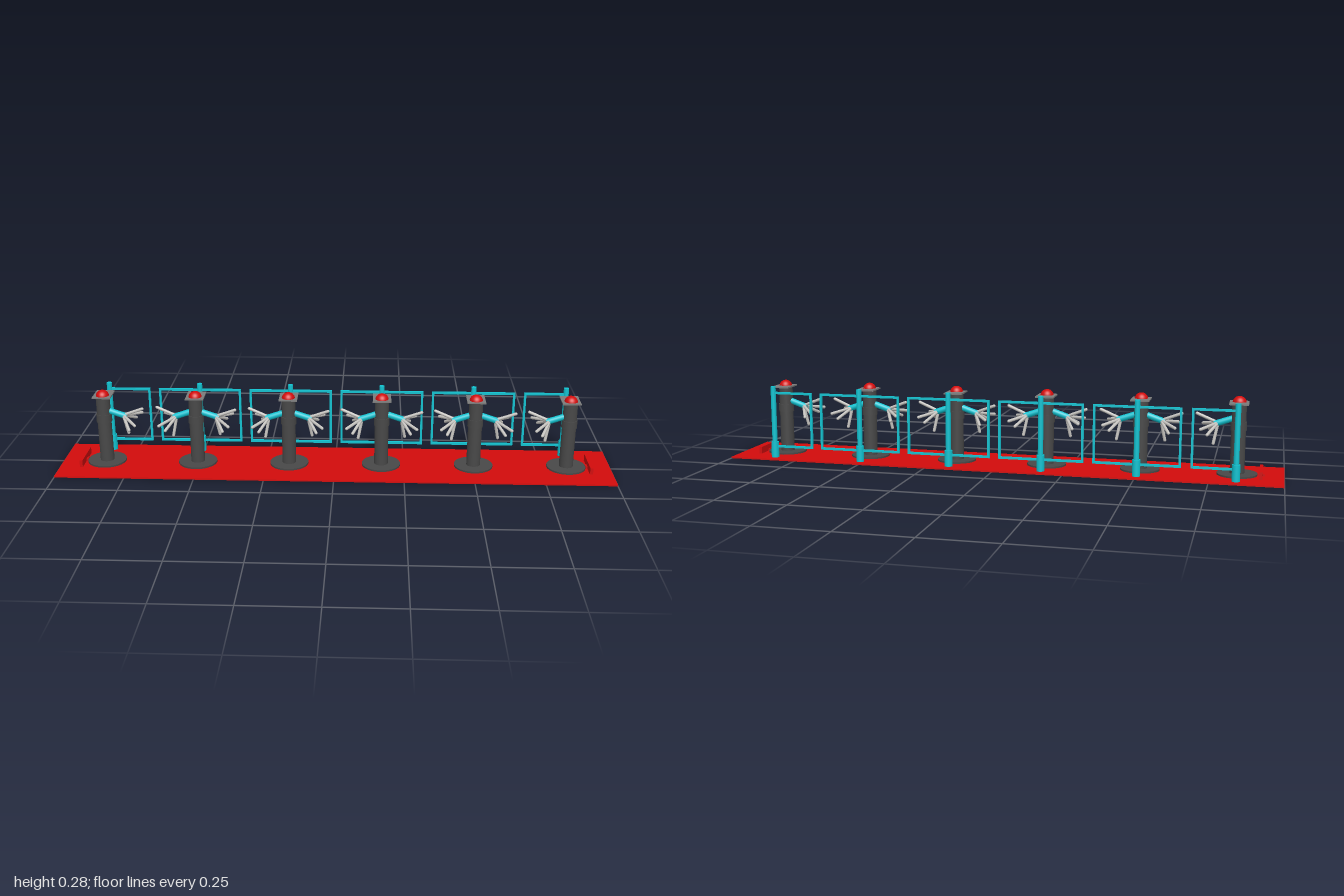
import * as THREE from 'three';

const mat = (name, color, side = THREE.FrontSide) => {
  const m = new THREE.MeshStandardMaterial({ color, side });
  m.name = name;
  return m;
};

export function createModel() {
  const red = mat('red', 0xd20c0c);
  const charcoal = mat('charcoal', 0x484848);
  const plateGrey = mat('plate grey', 0x7c7c7c);
  const steel = mat('steel', 0xc4c2be);
  const teal = mat('teal', 0x10c2d0);

  const model = new THREE.Group();
  model.name = 'turnstileRow';

  const add = (parent, name, geo, material, x = 0, y = 0, z = 0) => {
    const mesh = new THREE.Mesh(geo, material);
    mesh.name = name;
    mesh.position.set(x, y, z);
    parent.add(mesh);
    return mesh;
  };
  const box = (parent, name, material, w, h, d, x, y, z) =>
    add(parent, name, new THREE.BoxGeometry(w, h, d), material, x, y, z);
  // Upright cylinder between two heights
  const column = (parent, name, material, r, y0, y1, x = 0, z = 0) =>
    add(parent, name, new THREE.CylinderGeometry(r, r, y1 - y0, 32), material, x, (y0 + y1) / 2, z);
  // Round bar between two points
  const bar = (parent, name, material, r, a, b, rounded) => {
    const dir = b.clone().sub(a), len = dir.length();
    const geo = rounded
      ? new THREE.CapsuleGeometry(r, len - 2 * r, 5, 14)
      : new THREE.CylinderGeometry(r, r, len, 20);
    const mesh = add(parent, name, geo, material);
    mesh.position.copy(a).add(b).multiplyScalar(0.5);
    mesh.quaternion.setFromUnitVectors(new THREE.Vector3(0, 1, 0), dir.normalize());
  };

  // Floor slab and end stops
  box(model, 'floorSlab', red, 2, 0.005, 0.302, 0, 0.0025, 0);
  for (const s of [-1, 1]) {
    box(model, 'endStop', red, 0.011, 0.025, 0.13, s * 0.922, 0.0175, 0);
    box(model, 'endStopFoot', red, 0.026, 0.008, 0.022, s * 0.922, 0.009, 0);
  }

  // Arm tips: distance from the post axis, height, depth
  const tips = [
    [0.148, 0.215, 0.01], [0.085, 0.107, -0.01],
    [0.128, 0.169, 0.071], [0.128, 0.169, -0.071],
    [0.105, 0.149, 0.069], [0.105, 0.149, -0.069],
  ];

  // Sloping hub with its fan of arms, on side s of a post
  const armSet = (parent, s) => {
    const g = new THREE.Group();
    g.name = 'armSet';
    parent.add(g);
    const v = (x, y, z) => new THREE.Vector3(s * x, y, s * z);
    bar(g, 'hub', teal, 0.011, v(0.015, 0.203, 0), v(0.082, 0.18, 0));
    for (const t of tips) bar(g, 'arm', steel, 0.0055, v(0.07, 0.184, 0), v(...t), true);
  };

  // Rectangular guard frame behind a post, from x0 to x1
  const guardFrame = (parent, x0, x1) => {
    const g = new THREE.Group();
    g.name = 'guardFrame';
    parent.add(g);
    const t = 0.008, y0 = 0.046, y1 = 0.246, z = -0.11;
    for (const y of [y0, y1]) box(g, 'rail', teal, x1 - x0, t, t, (x0 + x1) / 2, y, z);
    for (const x of [x0, x1]) {
      if (x !== 0) box(g, 'stile', teal, t, y1 - y0 + t, t, x, (y0 + y1) / 2, z);
    }
  };

  for (let i = 0; i < 6; i++) {
    const unit = new THREE.Group();
    unit.name = 'turnstile';
    unit.position.x = (i - 2.5) * 0.336;
    model.add(unit);

    // Main post
    column(unit, 'flange', charcoal, 0.07, 0.005, 0.011);
    column(unit, 'post', charcoal, 0.025, 0.011, 0.256);
    column(unit, 'collar', charcoal, 0.028, 0.161, 0.19);
    box(unit, 'topPlate', plateGrey, 0.066, 0.005, 0.082, 0, 0.2575, -0.013);
    add(unit, 'domeLamp',
      new THREE.SphereGeometry(0.024, 28, 12, 0, Math.PI * 2, 0, Math.PI / 2), red, 0, 0.256, 0);

    // Guard post
    column(unit, 'guardPost', teal, 0.0095, 0.005, 0.27, 0, -0.11);
    column(unit, 'guardPostSleeve', teal, 0.014, 0.005, 0.063, 0, -0.11);

    // End units face inward only
    const first = i === 0, last = i === 5;
    if (!first) armSet(unit, -1);
    if (!last) armSet(unit, 1);
    guardFrame(unit, first ? 0 : -0.148, last ? 0 : 0.148);
  }
  return model;
}
